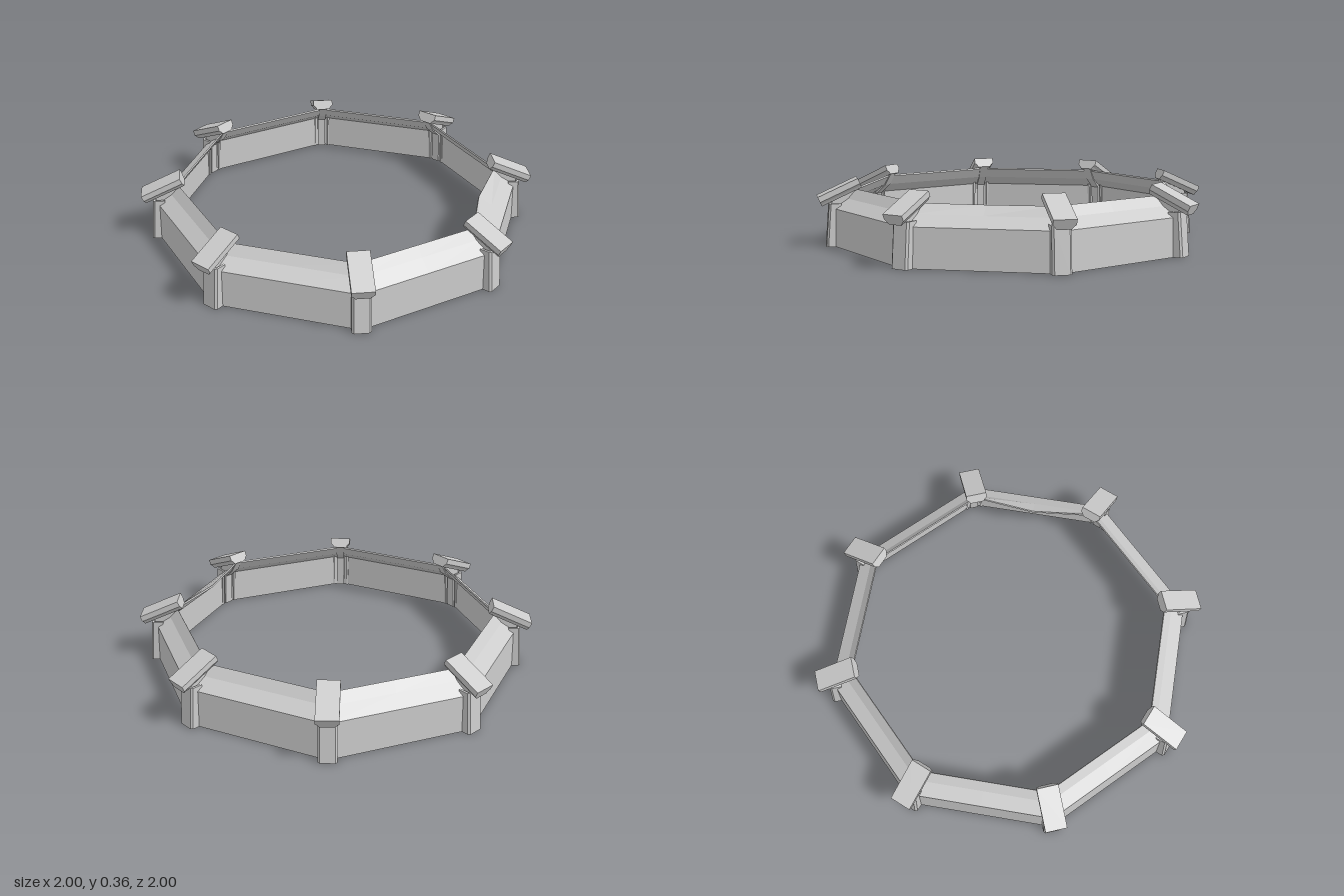
import * as THREE from 'three';

const material = new THREE.MeshStandardMaterial({ color: 0xcccccc, flatShading: true });
const SIDES = 8;
const STEP = (Math.PI * 2) / SIDES;
const MITRE = Math.tan(STEP / 2);

// Wall cross-section (distance from centre, height): up the outside, over the lip, down the inside
const wallProfile = [
  [0.915, 0], [0.91, 0.2], [0.84, 0.25], [0.8, 0.3],
  [0.796, 0.292], [0.83, 0.24], [0.898, 0.19], [0.903, 0],
];

// Mitred wall panel; a sag bends the middle of the lip inwards and slightly down
function panelGeometry(sag) {
  const station = (t) => wallProfile.map(([d, y]) => {
    const bend = t === 0 && y > 0.28 ? sag : 0;
    return [t * d * MITRE, y - bend * 0.2, d - bend];
  });
  const rows = [-1, 0, 1].map(station);
  const pos = [];
  for (let s = 0; s < rows.length - 1; s++) {
    for (let i = 0; i < wallProfile.length; i++) {
      const j = (i + 1) % wallProfile.length;
      const a = rows[s][i], b = rows[s + 1][i], c = rows[s + 1][j], d = rows[s][j];
      pos.push(...a, ...b, ...c, ...a, ...c, ...d);
    }
  }
  const geo = new THREE.BufferGeometry();
  geo.setAttribute('position', new THREE.Float32BufferAttribute(pos, 3));
  geo.computeVertexNormals();
  return geo;
}

function extrude(points, depth) {
  const shape = new THREE.Shape(points.map(([x, y]) => new THREE.Vector2(x, y)));
  return new THREE.ExtrudeGeometry(shape, { depth, bevelEnabled: false });
}

// Hollow channel post on the outside of a corner, leaning slightly inwards
function postGeometry() {
  const geo = extrude([
    [-0.048, -0.955], [-0.048, -1.008], [-0.038, -1.018], [0.038, -1.018], [0.048, -1.008],
    [0.048, -0.955], [0.036, -0.955], [0.036, -1.006], [-0.036, -1.006], [-0.036, -0.955],
  ], 0.228);
  geo.rotateX(-Math.PI / 2);
  const p = geo.attributes.position;
  for (let i = 0; i < p.count; i++) p.setZ(i, p.getZ(i) - 0.08 * p.getY(i));
  geo.computeVertexNormals();
  return geo;
}

// Narrow rib inside a corner, following the wall and its lip up to the cap
function ribGeometry() {
  const width = 0.045;
  const geo = extrude([
    [0.985, 0], [0.985, 0.24], [0.85, 0.305], [0.836, 0.31],
    [0.88, 0.24], [0.945, 0.185], [0.958, 0],
  ], width);
  geo.rotateY(-Math.PI / 2);
  geo.translate(width / 2, 0, 0);
  return geo;
}

// Sloping cap beam with its underside drawn in
function capGeometry() {
  const half = [[0.057, 0], [0.057, -0.03], [0.045, -0.042], [0.036, -0.055]];
  const mirrored = half.map(([x, y]) => [-x, y]).reverse();
  return extrude([...half, ...mirrored], 0.23);
}

export function createModel() {
  const model = new THREE.Group();
  model.name = 'octagonalRing';

  const add = (parent, geometry, name) => {
    const mesh = new THREE.Mesh(geometry, material);
    mesh.name = name;
    parent.add(mesh);
    return mesh;
  };

  const straight = panelGeometry(0);
  const bent = panelGeometry(0.03);
  const post = postGeometry();
  const rib = ribGeometry();
  const cap = capGeometry();

  for (let k = 0; k < SIDES; k++) {
    // Wall panel
    add(model, k === 1 ? bent : straight, 'wallPanel').rotation.y = k * STEP;

    // Corner pillar
    const pillar = new THREE.Group();
    pillar.name = 'cornerPillar';
    pillar.rotation.y = (k + 0.5) * STEP;
    add(pillar, post, 'post');
    add(pillar, rib, 'innerRib');
    const beam = add(pillar, cap, 'slopingCap');
    beam.position.set(0, 0.36, 0.85);
    beam.rotation.x = Math.atan2(0.095, 0.21);
    model.add(pillar);
  }
  return model;
}
